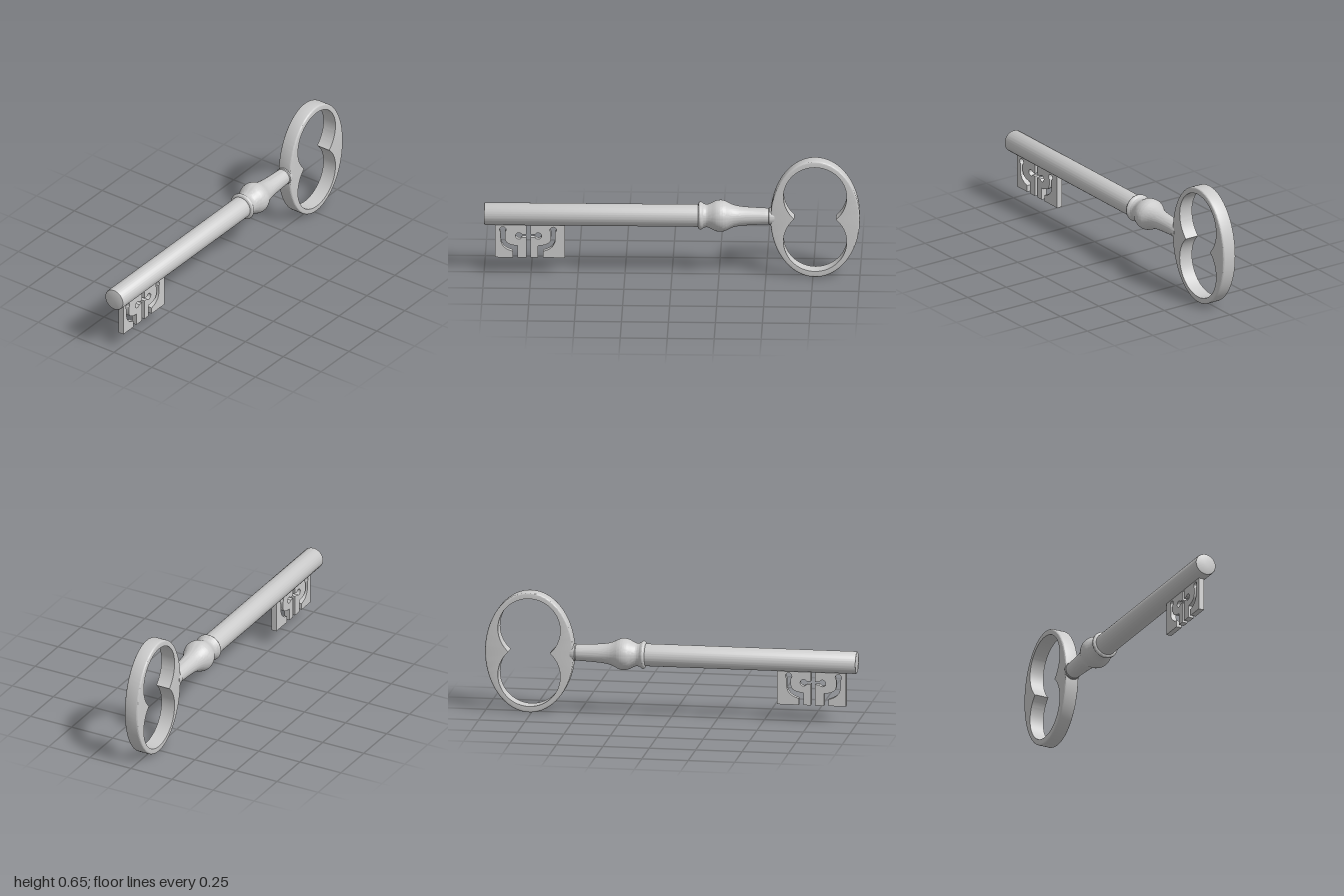
import * as THREE from 'three';
import { toCreasedNormals } from 'three/addons/utils/BufferGeometryUtils.js';

const AXIS_Y = 0.33;
const material = new THREE.MeshStandardMaterial({ color: 0xcccccc });
const v = (x, y) => new THREE.Vector2(x, y);

function addPart(group, name, geometry, crease = 0.55) {
  const mesh = new THREE.Mesh(toCreasedNormals(geometry, crease), material);
  mesh.name = name;
  group.add(mesh);
}

// Turned part along z; profile is (radius, z) with z rising
function turned(points) {
  const g = new THREE.LatheGeometry(points, 64);
  g.rotateX(Math.PI / 2);
  g.translate(0, AXIS_Y, 0);
  return g;
}

const smooth = (pts, n) => new THREE.SplineCurve(pts.map(p => v(...p))).getPoints(n);

// Oval bow: outer ellipse with rounded rims, hole made of two overlapping circles
function bowGeometry() {
  const n = 160, a = 0.238, b = 0.3275, hw = 0.04, bevel = 0.009;
  const lobeY = 0.126, lobeR = 0.168;
  const pos = [], idx = [];
  const rim = [];
  for (let k = 0; k <= 4; k++) {
    const t = (k / 4) * Math.PI / 2;
    rim.push([hw - bevel + bevel * Math.cos(t), bevel * (1 - Math.sin(t))]);
  }
  const outer = [...rim.map(([x, d]) => [-x, d]), ...rim.reverse()];
  const m = outer.length + 2;
  for (let i = 0; i < n; i++) {
    const t = (i / n) * Math.PI * 2, c = Math.cos(t), s = Math.sin(t);
    const ro = 1 / Math.hypot(c / a, s / b);
    const ri = lobeY * Math.abs(s) + Math.sqrt(lobeR ** 2 - (lobeY * c) ** 2);
    const section = [[-hw, ri], ...outer.map(([x, d]) => [x, ro - d]), [hw, ri]];
    for (const [x, r] of section) pos.push(x, b + r * s, -0.762 + r * c);
  }
  for (let i = 0; i < n; i++) {
    for (let j = 0; j < m; j++) {
      const i2 = (i + 1) % n, j2 = (j + 1) % m;
      const p = i * m + j, q = i * m + j2, r = i2 * m + j, w = i2 * m + j2;
      idx.push(p, q, r, q, w, r);
    }
  }
  const g = new THREE.BufferGeometry();
  g.setAttribute('position', new THREE.Float32BufferAttribute(pos, 3));
  g.setIndex(idx);
  return g;
}

function arc(cx, cy, r, from, to, n = 18) {
  const out = [];
  for (let k = 0; k <= n; k++) {
    const t = THREE.MathUtils.degToRad(from + (to - from) * k / n);
    out.push(v(cx + r * Math.cos(t), cy + r * Math.sin(t)));
  }
  return out;
}

const bend = (p, c, q) => new THREE.QuadraticBezierCurve(v(...p), v(...c), v(...q)).getPoints(10);

// Half of the bit outline, measured outward from its centre slot
function bitHalf(edge, ward, slotIn, slotOut) {
  return [
    v(edge, 0.3), v(edge, 0.09), v(slotOut, 0.09),
    ...bend([slotOut, 0.126], [ward + 0.011, 0.14], [ward + 0.011, 0.2]),
    ...arc(ward, 0.246, 0.017, -50, 230),
    ...bend([ward - 0.011, 0.2], [ward - 0.011, 0.16], [slotIn, 0.157]),
    v(slotIn, 0.09), v(0.011, 0.09), v(0.011, 0.204),
    ...arc(0.051, 0.212, 0.018, -153, 153),
    v(0.011, 0.22), v(0.011, 0.275),
  ];
}

function bitGeometry() {
  const mid = 0.763;
  const front = bitHalf(0.178, 0.137, 0.06, 0.084).map(p => v(mid + p.x, p.y));
  const back = bitHalf(0.193, 0.131, 0.05, 0.076).map(p => v(mid - p.x, p.y)).reverse();
  const g = new THREE.ExtrudeGeometry(new THREE.Shape([...front, ...back]),
    { depth: 0.03, bevelEnabled: false });
  g.rotateY(-Math.PI / 2);
  g.translate(0.018, 0, 0);
  return g;
}

export function createModel() {
  const key = new THREE.Group();
  key.name = 'key';

  addPart(key, 'bow', bowGeometry());

  // Tapered neck flaring up to the knob, with a small bead at the bow
  addPart(key, 'neck', turned([
    v(0, -0.545), v(0.042, -0.545), v(0.047, -0.528), v(0.047, -0.518), v(0.043, -0.514),
    ...smooth([[0.044, -0.51], [0.047, -0.44], [0.052, -0.37], [0.061, -0.325], [0.078, -0.288]], 24),
  ]));

  // Round knob, cove and thin collar
  addPart(key, 'knob', turned([
    ...smooth([[0.078, -0.288], [0.085, -0.265], [0.082, -0.235], [0.068, -0.205], [0.061, -0.187]], 24),
    ...smooth([[0.061, -0.187], [0.064, -0.17], [0.071, -0.16]], 8),
    ...smooth([[0.071, -0.16], [0.075, -0.152], [0.071, -0.143], [0.06, -0.139]], 10),
  ]));

  addPart(key, 'shaft', turned([
    v(0.06, -0.14), v(0.06, 0.993), v(0.058, 0.998), v(0.053, 1), v(0, 1),
  ]));

  addPart(key, 'bit', bitGeometry());
  return key;
}
